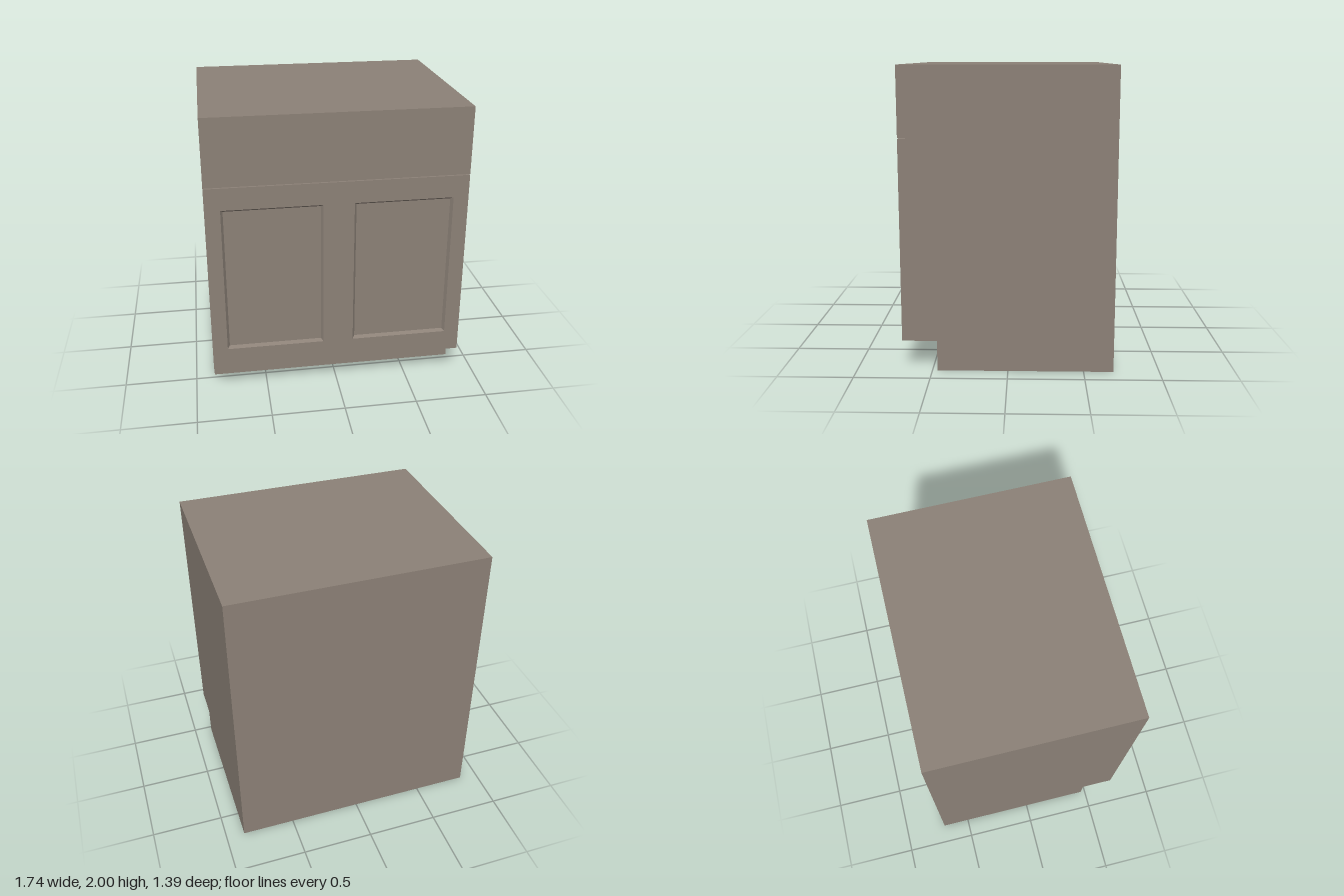
import * as THREE from 'three';

const W = 1.74, H = 2, ZF = 0.697, ZB = -0.697; // overall extents
const SLAB = 0.05;                              // thickness of the front slabs
const TOE_Y = 0.205, TOE_Z = 0.467;             // toe kick notch
const GAP_LOW = 1.538, GAP_HIGH = 1.544;        // groove under the drawer front
const PANEL = { x0: 0.103, x1: 0.768, y0: 0.355, y1: 1.386, bevel: 0.0155, depth: 0.022 };

const material = new THREE.MeshStandardMaterial({ color: 0x8c8177, flatShading: true });

function add(parent, name, geometry) {
  const mesh = new THREE.Mesh(geometry, material);
  mesh.name = name;
  parent.add(mesh);
  return mesh;
}

// Corners of a rectangle, counter-clockwise from the front
function rect(x0, y0, x1, y1) {
  return [[x0, y0], [x1, y0], [x1, y1], [x0, y1]].map(p => new THREE.Vector2(...p));
}

// Recessed panel: four sloping borders around a flat field
function recessGeometry(x0, y0, x1, y1, bevel, depth) {
  const outer = rect(x0, y0, x1, y1);
  const inner = rect(x0 + bevel, y0 + bevel, x1 - bevel, y1 - bevel);
  const pos = [];
  const put = (p, z) => pos.push(p.x, p.y, z);
  const back = ZF - depth;
  for (let i = 0; i < 4; i++) {
    const j = (i + 1) % 4;
    put(outer[i], ZF); put(outer[j], ZF); put(inner[j], back);
    put(outer[i], ZF); put(inner[j], back); put(inner[i], back);
  }
  for (const i of [0, 1, 2, 0, 2, 3]) put(inner[i], back);
  const g = new THREE.BufferGeometry();
  g.setAttribute('position', new THREE.Float32BufferAttribute(pos, 3));
  g.computeVertexNormals();
  return g;
}

export function createModel() {
  const group = new THREE.Group();
  group.name = 'baseCabinet';

  // Carcass: side profile with toe kick, extruded across the width
  const zBody = ZF - SLAB;
  const profile = new THREE.Shape([
    [ZB, 0], [TOE_Z, 0], [TOE_Z, TOE_Y], [zBody, TOE_Y], [zBody, H], [ZB, H],
  ].map(p => new THREE.Vector2(...p)));
  const body = new THREE.ExtrudeGeometry(profile, { depth: W, bevelEnabled: false });
  body.translate(0, 0, -W / 2);
  body.rotateY(-Math.PI / 2); // profile x becomes z
  add(group, 'carcass', body);

  // Drawer front
  add(group, 'drawerFront', new THREE.BoxGeometry(W, H - GAP_HIGH, SLAB))
    .position.set(0, (H + GAP_HIGH) / 2, ZF - SLAB / 2);

  // Door front with two openings
  const { x0, x1, y0, y1, bevel, depth } = PANEL;
  const openings = [[-x1, -x0, 'rightPanel'], [x0, x1, 'leftPanel']];
  const front = new THREE.Shape(rect(-W / 2, TOE_Y, W / 2, GAP_LOW));
  for (const [a, b] of openings) front.holes.push(new THREE.Path(rect(a, y0, b, y1).reverse()));
  const frame = new THREE.ExtrudeGeometry(front, { depth: SLAB, bevelEnabled: false });
  frame.translate(0, 0, zBody);
  add(group, 'doorFrame', frame);

  // Bevelled panels set into the openings
  for (const [a, b, name] of openings) add(group, name, recessGeometry(a, y0, b, y1, bevel, depth));

  return group;
}
